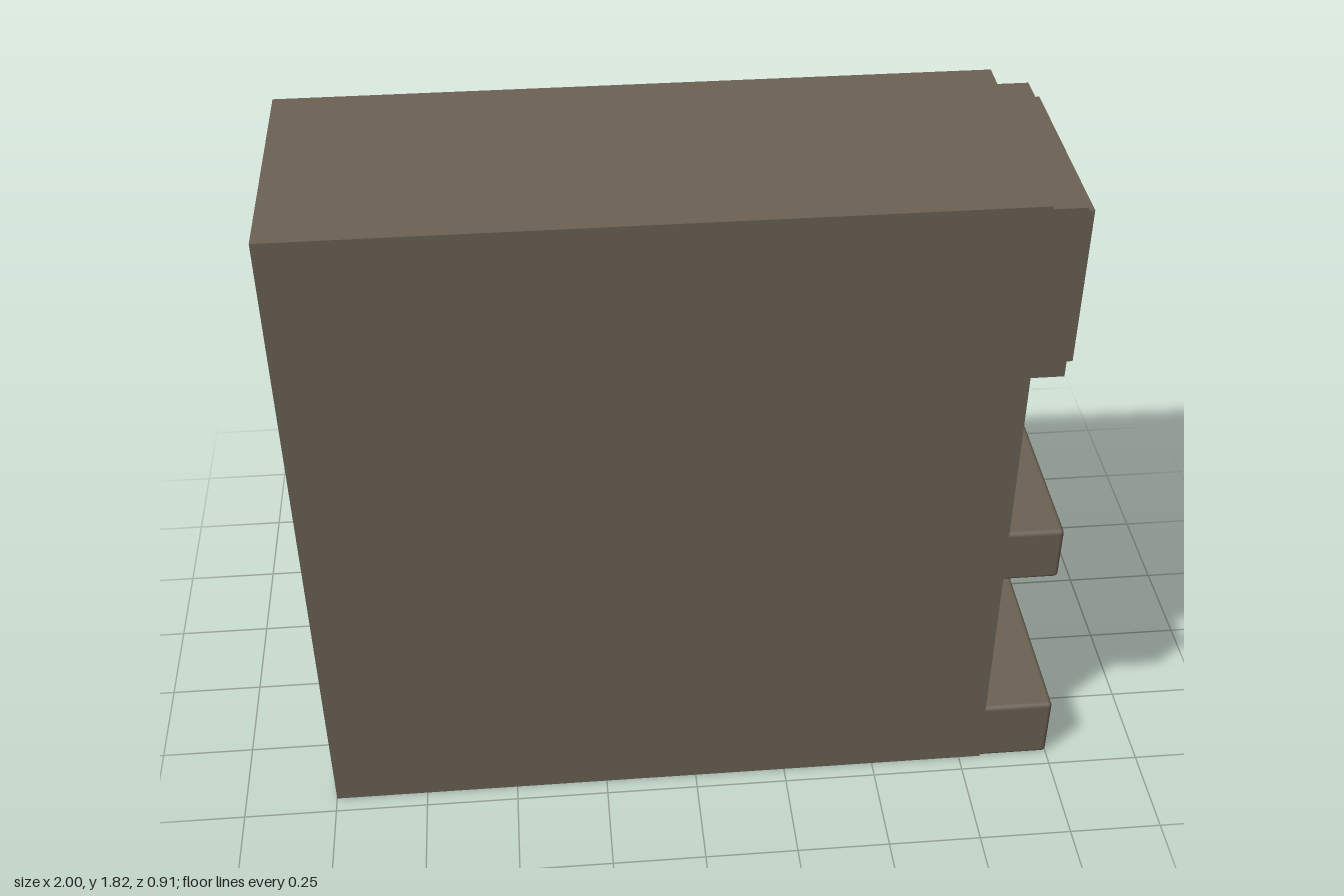
import * as THREE from 'three';
import { RoundedBoxGeometry } from 'three/addons/geometries/RoundedBoxGeometry.js';

const BACK = -0.217, FRONT = 0.455, TOP = 1.815, FACE = 0.81;

export function createModel() {
  const group = new THREE.Group();
  const stone = new THREE.MeshStandardMaterial({ color: 0x6c6254 });
  stone.name = 'warm grey stone';

  function add(name, geometry) {
    const mesh = new THREE.Mesh(geometry, stone);
    mesh.name = name;
    group.add(mesh);
    return mesh;
  }

  // box given by its limits along each axis
  function block(name, x0, x1, y0, y1, z0, z1, radius = 0) {
    const size = [x1 - x0, y1 - y0, z1 - z0];
    const geometry = radius
      ? new RoundedBoxGeometry(...size, 3, radius)
      : new THREE.BoxGeometry(...size);
    add(name, geometry).position.set((x0 + x1) / 2, (y0 + y1) / 2, (z0 + z1) / 2);
  }

  // upright panel facing +x, with rectangular holes; rectangles are [z0, z1, y0, y1]
  function panel(name, x0, x1, outline, holes) {
    const trace = (path, [z0, z1, y0, y1]) =>
      path.moveTo(-z1, y0).lineTo(-z0, y0).lineTo(-z0, y1).lineTo(-z1, y1).closePath();
    const shape = new THREE.Shape();
    trace(shape, outline);
    for (const hole of holes) {
      const path = new THREE.Path();
      trace(path, hole);
      shape.holes.push(path);
    }
    const geometry = new THREE.ExtrudeGeometry(shape, { depth: x1 - x0, bevelEnabled: false });
    geometry.rotateY(Math.PI / 2).translate(x0, 0, 0);
    add(name, geometry);
  }

  // wall body and the end face with its column of recesses
  const core = FACE - 0.1;
  block('wallBody', -1, core, 0, TOP, BACK, FRONT);
  const recesses = [[0.19, 0.1], [0.51, 0.035], [0.83, 0.03], [1.15, 0.03]];
  panel('endFace', core, FACE, [BACK, FRONT, 0, TOP],
    recesses.map(([y]) => [0, 0.3, y, y + 0.16]));
  for (const [y, depth] of recesses) {
    if (depth < 0.1) block('recessBack', core, FACE - depth, y, y + 0.16, 0, 0.3);
  }

  // projecting base and shelf with softened edges
  block('base', 0.78, 1, 0, 0.19, BACK, FRONT, 0.012);
  block('shelf', 0.78, 0.957, 0.67, 0.83, BACK, FRONT, 0.012);

  // stepped window frame
  panel('outerFrame', FACE, 0.903, [-0.185, 0.427, 1.31, 1.79], [[0, 0.3, 1.47, 1.63]]);
  panel('innerFrame', 0.903, 0.927, [-0.155, 0.4, 1.335, 1.765], [[-0.03, 0.327, 1.44, 1.655]]);

  // column of blocks projecting from the back
  const bumps = [[0.03, -0.222], [0.35, -0.252], [0.67, -0.455],
    [0.99, -0.317], [1.31, -0.226], [1.63, -0.237]];
  for (const [y, z] of bumps) {
    block('backBlock', -0.1, 0.26, y, y + 0.16, z, BACK);
  }

  return group;
}
